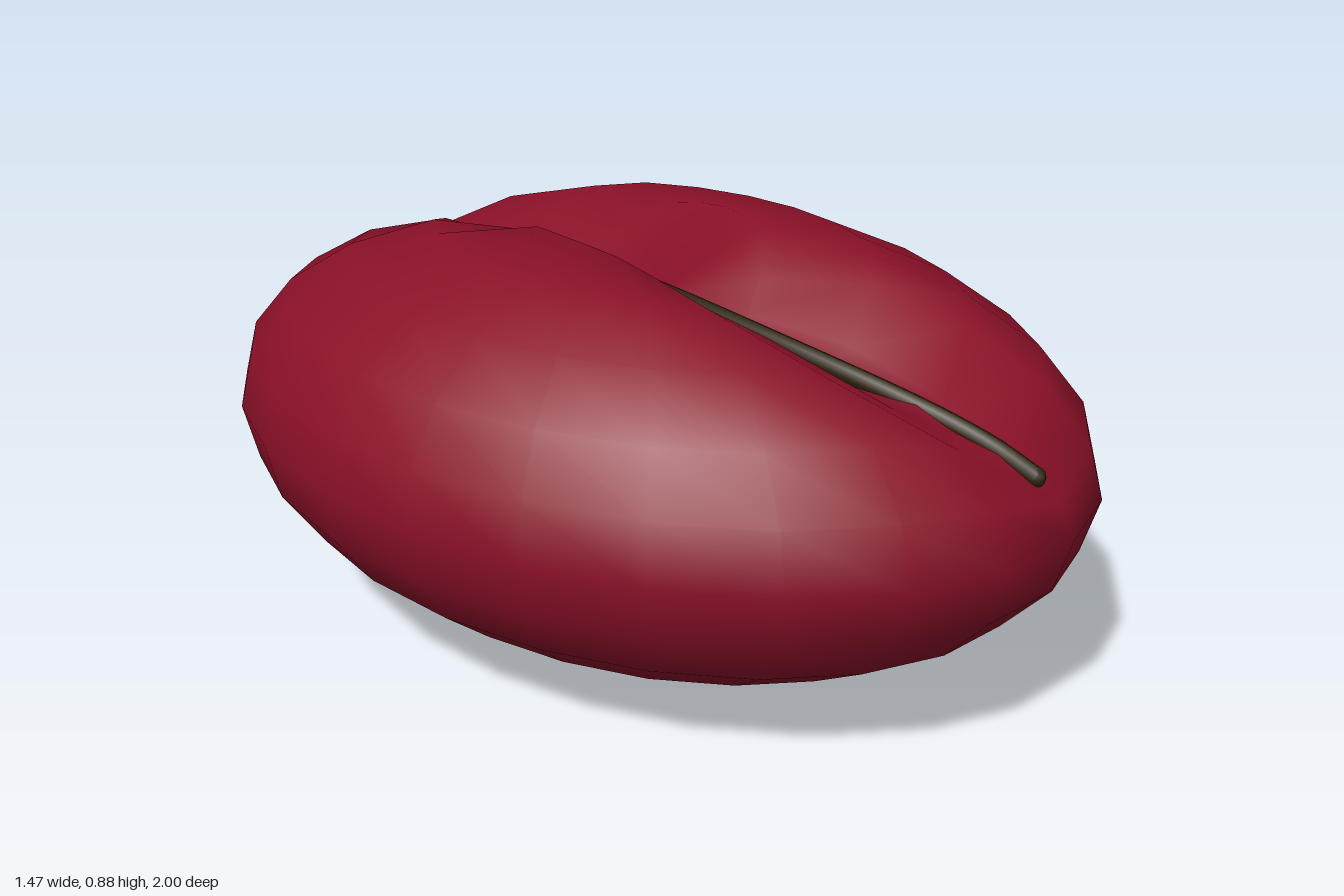
import * as THREE from 'three';
import { mergeVertices } from 'three/addons/utils/BufferGeometryUtils.js';

const HALF = { x: 0.735, y: 0.455, z: 1.0 };
const CENTER_Y = 0.46;

// S-shaped centre line of the crease, running along z
const creaseX = (z) => -0.07 * Math.sin(Math.PI * z);

// Ellipsoid bean with a soft crease pressed into its upper half
function beanGeometry() {
  let geo = new THREE.SphereGeometry(1, 24, 12);
  geo.deleteAttribute('uv');
  geo.deleteAttribute('normal');
  geo = mergeVertices(geo, 1e-4);
  const pos = geo.attributes.position;
  for (let i = 0; i < pos.count; i++) {
    const x = pos.getX(i) * HALF.x;
    const z = pos.getZ(i) * HALF.z;
    const up = pos.getY(i);
    const dx = (x - creaseX(z)) / 0.125;
    const drop = up > 0 ? 0.2 * up * Math.exp(-dx * dx) : 0;
    pos.setXYZ(i, x, CENTER_Y + HALF.y * up - drop, z);
  }
  geo.computeVertexNormals();
  return geo;
}

// Thin dark cord lying in the bottom of the crease
function seamGeometry() {
  const points = [];
  for (let i = 0; i <= 24; i++) {
    const z = -0.92 + (1.84 * i) / 24;
    points.push(new THREE.Vector3(creaseX(z), CENTER_Y + 0.285 * Math.sqrt(1 - z * z), z));
  }
  return new THREE.TubeGeometry(new THREE.CatmullRomCurve3(points), 64, 0.02, 8, false);
}

export function createModel() {
  const skin = new THREE.MeshStandardMaterial({ color: 0x8a1028 });
  skin.name = 'deep red skin';
  const dark = new THREE.MeshStandardMaterial({ color: 0x2e2410 });
  dark.name = 'dark brown seam';

  const group = new THREE.Group();
  group.name = 'bean';

  const body = new THREE.Mesh(beanGeometry(), skin);
  body.name = 'beanBody';
  group.add(body);

  const seamGeo = seamGeometry();
  const seam = new THREE.Mesh(seamGeo, dark);
  seam.name = 'seam';
  group.add(seam);

  // Rounded ends of the seam
  for (const z of [-0.92, 0.92]) {
    const cap = new THREE.Mesh(new THREE.SphereGeometry(0.02, 8, 6), dark);
    cap.name = 'seamEnd';
    cap.position.set(creaseX(z), CENTER_Y + 0.285 * Math.sqrt(1 - z * z), z);
    group.add(cap);
  }
  return group;
}
